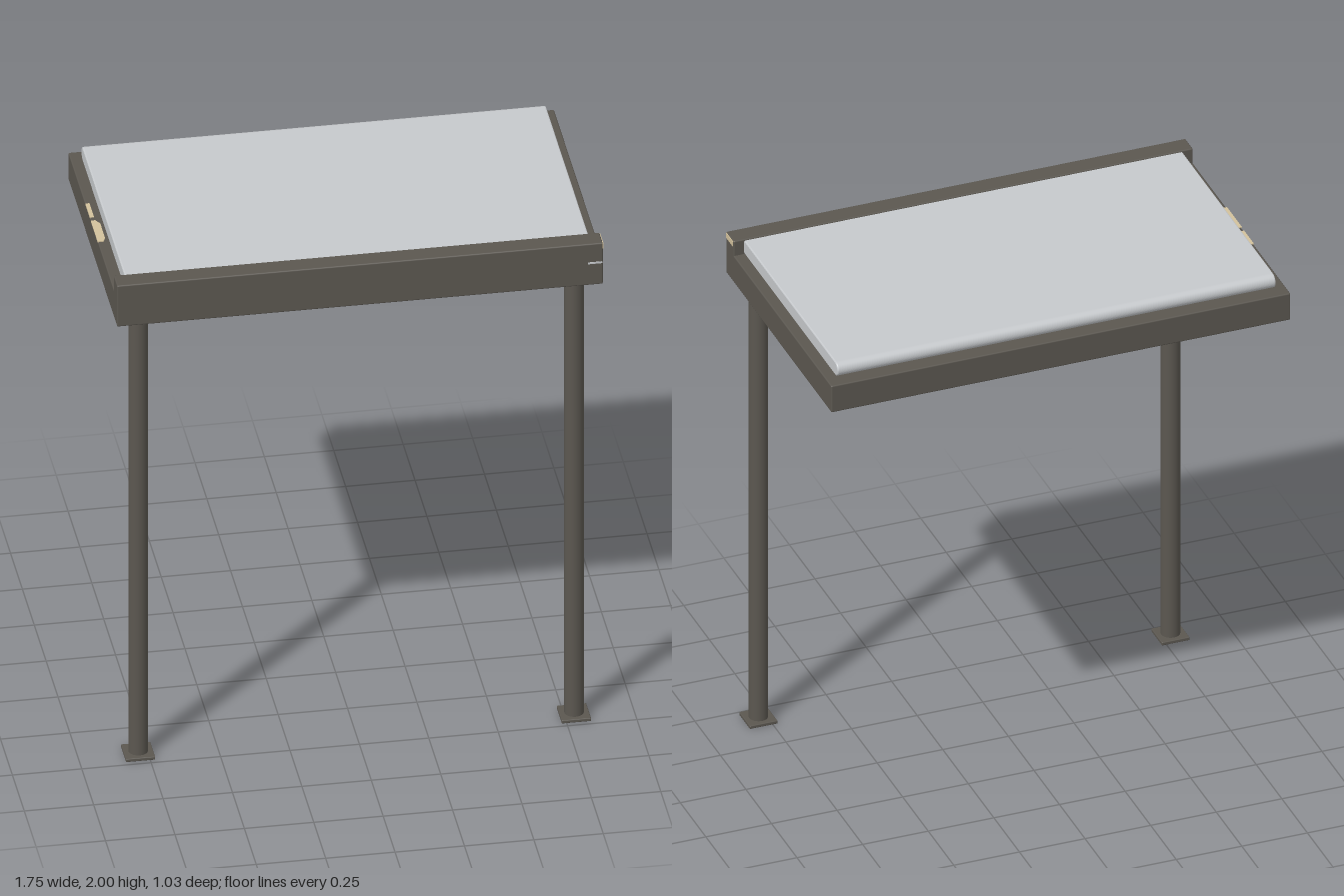
import * as THREE from 'three';
import { RoundedBoxGeometry } from 'three/addons/geometries/RoundedBoxGeometry.js';

const mat = (name, color) => {
  const m = new THREE.MeshStandardMaterial({ color });
  m.name = name;
  return m;
};

export function createModel() {
  const model = new THREE.Group();
  model.name = 'solarCanopy';
  const dark = mat('darkMetal', 0x5b5750);
  const silver = mat('silverPanel', 0xc6c9cc);
  const beige = mat('beige', 0xd2c19c);

  const add = (name, geometry, material, x = 0, y = 0, z = 0, parent = model) => {
    const mesh = new THREE.Mesh(geometry, material);
    mesh.name = name;
    mesh.position.set(x, y, z);
    parent.add(mesh);
    return mesh;
  };
  // Box given by its min and max on each axis
  const box = (name, material, [x0, x1], [y0, y1], [z0, z1], r = 0, parent = model) => {
    const size = [x1 - x0, y1 - y0, z1 - z0];
    const geometry = r ? new RoundedBoxGeometry(...size, 2, r) : new THREE.BoxGeometry(...size);
    return add(name, geometry, material, (x0 + x1) / 2, (y0 + y1) / 2, (z0 + z1) / 2, parent);
  };

  // Roof tray and the taller front beam
  box('roofTray', dark, [-0.875, 0.875], [1.83, 1.94], [-0.515, 0.515], 0.005);
  box('frontBeam', dark, [-0.875, 0.875], [1.927, 2], [0.44, 0.515], 0.005);
  box('beamEndCap', beige, [0.872, 0.877], [1.977, 1.997], [0.445, 0.513]);
  box('beamEndMark', silver, [0.82, 0.872], [1.918, 1.925], [0.512, 0.517]);

  // Top panel: side profile with a round rear edge, extruded across the width
  const profile = new THREE.Shape();
  profile.moveTo(-0.44, 1.945);
  profile.lineTo(0.447, 1.945);
  profile.absarc(0.447, 1.968, 0.023, -Math.PI / 2, Math.PI / 2, false);
  profile.lineTo(-0.44, 1.991);
  profile.closePath();
  const panel = new THREE.ExtrudeGeometry(profile, {
    depth: 1.66, curveSegments: 12, bevelThickness: 0.005, bevelSize: 0.004, bevelSegments: 2,
  });
  panel.translate(0, 0, -0.83).rotateY(Math.PI / 2);
  add('topPanel', panel, silver);
  box('panelSeat', dark, [-0.825, 0.825], [1.938, 1.946], [-0.44, 0.44]);

  // Small plates on the tray's side rim
  box('rimStrip', beige, [-0.875, -0.86], [1.938, 1.943], [-0.155, -0.06]);
  const tab = new THREE.Shape([
    [-0.876, -0.11], [-0.855, -0.11], [-0.846, -0.09], [-0.846, 0.01], [-0.86, 0.035], [-0.876, 0.035],
  ].map(([x, y]) => new THREE.Vector2(x, y)));
  const tabGeometry = new THREE.ExtrudeGeometry(tab, { depth: 0.005, bevelEnabled: false });
  add('rimTab', tabGeometry.rotateX(-Math.PI / 2), beige, 0, 1.939);

  // Round posts on square feet
  for (const side of [-1, 1]) {
    const post = new THREE.Group();
    post.name = side > 0 ? 'leftPost' : 'rightPost';
    post.position.set(side * 0.785, 0, 0.43);
    model.add(post);
    add('shaft', new THREE.CylinderGeometry(0.035, 0.035, 1.83, 32), dark, 0, 0.917, 0, post);
    box('footPlate', dark, [-0.053, 0.053], [0, 0.013], [-0.053, 0.053], 0.003, post);
  }

  // Thin ribs under the tray
  for (const x of [-0.56, 0.155, 0.6]) {
    box('underRib', dark, [x - 0.018, x + 0.018], [1.825, 1.832], [-0.2, 0.31]);
  }

  // Hanging lamp with a wire guard
  const lamp = new THREE.Group();
  lamp.name = 'lamp';
  lamp.position.z = -0.078;
  model.add(lamp);
  box('lampHousing', dark, [-0.117, 0.117], [1.798, 1.831], [-0.077, 0.077], 0.006, lamp);
  box('lampBody', beige, [-0.102, 0.102], [1.759, 1.8], [-0.064, 0.064], 0.006, lamp);
  for (let i = 0; i < 5; i++) {
    const z = -0.06 + i * 0.03;
    box('guardBar', dark, [-0.11, 0.11], [1.748, 1.755], [z - 0.004, z + 0.004], 0, lamp);
  }
  for (let i = 0; i < 6; i++) {
    const x = -0.09 + i * 0.036;
    box('guardCrossBar', dark, [x - 0.003, x + 0.003], [1.754, 1.759], [-0.062, 0.062], 0, lamp);
  }
  return model;
}
